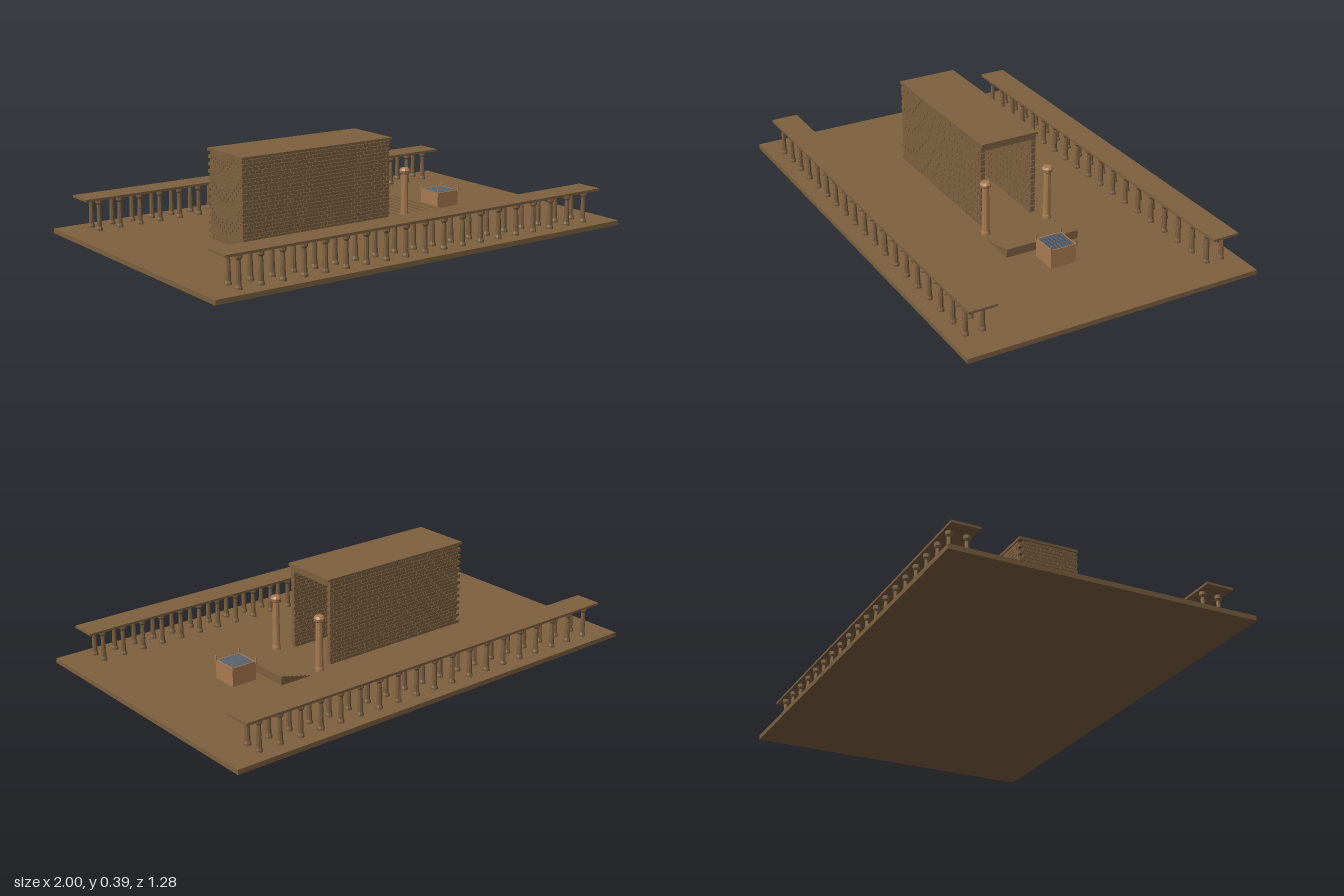
import * as THREE from 'three';
import { mergeGeometries } from 'three/addons/utils/BufferGeometryUtils.js';

const stone = new THREE.MeshStandardMaterial({ color: 0x7d6040 });
stone.name = 'brown stone';
const bronze = new THREE.MeshStandardMaterial({ color: 0xa87b50 });
bronze.name = 'bronze';
const purple = new THREE.MeshStandardMaterial({ color: 0x80456f, side: THREE.DoubleSide });
purple.name = 'purple cloth';
const iron = new THREE.MeshStandardMaterial({ color: 0x5c6876 });
iron.name = 'grey iron';

const FLOOR = 0.02;

// Box given by its minimum and maximum corners
function box(x0, x1, y0, y1, z0, z1) {
  return new THREE.BoxGeometry(x1 - x0, y1 - y0, z1 - z0)
    .translate((x0 + x1) / 2, (y0 + y1) / 2, (z0 + z1) / 2);
}

// Faceted turned column from [radius, height] pairs
function column(profile, sides, x, z) {
  const points = profile.map(([r, y]) => new THREE.Vector2(r, y));
  return new THREE.LatheGeometry(points, sides).toNonIndexed().translate(x, FLOOR, z);
}

export function createModel() {
  const model = new THREE.Group();
  model.name = 'templeCourt';
  const add = (name, parts, material) => {
    const geometry = Array.isArray(parts) ? mergeGeometries(parts) : parts;
    geometry.computeVertexNormals();
    const mesh = new THREE.Mesh(geometry, material);
    mesh.name = name;
    model.add(mesh);
  };

  // Courtyard slab
  add('courtyard', box(-1, 1, 0, FLOOR, -0.64, 0.64), stone);

  // Two colonnades, each a double row of columns under a flat roof
  const slim = [[0, 0], [0.0145, 0], [0.0145, 0.008], [0.011, 0.017], [0.0085, 0.108],
    [0.0145, 0.117], [0.0145, 0.132], [0, 0.132]];
  for (const side of [1, -1]) {
    const name = side > 0 ? 'front' : 'back';
    const columns = [];
    for (let i = 0; i < 19; i++) {
      for (const z of [0.501, 0.572]) columns.push(column(slim, 8, -0.86 + i * 0.0953, side * z));
    }
    add(name + 'Columns', columns, stone);
    const mid = side * 0.536;
    add(name + 'ColonnadeRoof', box(-0.928, 0.926, 0.151, 0.161, mid - 0.059, mid + 0.059), stone);
  }

  // Brick walls in running bond with fine open joints
  const bricks = [];
  const rows = 24, rise = 0.015, pitch = 0.03, gap = 0.0014;
  for (let row = 0; row < rows; row++) {
    const y0 = FLOOR + row * rise;
    const y1 = y0 + rise - gap;
    const shift = row % 2 ? pitch / 2 : 0;
    for (let x = -0.555 + shift; x < 0.16; x += pitch) {
      const end = Math.min(x + pitch - gap, 0.167);
      bricks.push(box(x, end, y0, y1, 0.108, 0.128));
      bricks.push(box(x, end, y0, y1, -0.128, -0.108));
    }
    // Rear wall
    for (let z = -0.128 + shift; z < 0.12; z += pitch) {
      bricks.push(box(-0.557, -0.537, y0, y1, z, Math.min(z + pitch - gap, 0.128)));
    }
  }
  add('brickWalls', bricks, stone);

  // Roof, doorway beam and inner curtain
  add('templeRoof', box(-0.56, 0.177, 0.381, 0.392, -0.131, 0.131), stone);
  add('lintel', box(0.148, 0.167, 0.358, 0.376, -0.108, 0.108), stone);
  add('curtain', box(-0.304, -0.3, FLOOR, 0.378, -0.107, 0.107), purple);

  // Two tall pillars beside the doorway
  const tall = [[0, 0], [0.019, 0], [0.019, 0.01], [0.0165, 0.02], [0.0145, 0.212],
    [0.022, 0.218], [0.024, 0.229], [0.017, 0.238], [0, 0.238]];
  for (const side of [1, -1]) {
    add(side > 0 ? 'frontPillar' : 'backPillar', column(tall, 10, 0.235, side * 0.144), bronze);
  }

  // Steps rising toward the altar
  const steps = new THREE.Shape();
  const count = 7, tread = 0.145 / count, riser = 0.036 / count;
  steps.moveTo(0.3, FLOOR);
  for (let i = 0; i < count; i++) {
    steps.lineTo(0.3 + i * tread, FLOOR + (i + 1) * riser);
    steps.lineTo(0.3 + (i + 1) * tread, FLOOR + (i + 1) * riser);
  }
  steps.lineTo(0.445, FLOOR);
  const stair = new THREE.ExtrudeGeometry(steps, { depth: 0.33, bevelEnabled: false });
  add('steps', stair.translate(0, 0, -0.165), stone);

  // Hollow altar with four corner horns
  const cx = 0.546, half = 0.057, top = 0.1, wall = 0.005;
  const altar = [];
  for (const s of [1, -1]) {
    const a = s * half, b = s * (half - wall);
    const lo = Math.min(a, b), hi = Math.max(a, b);
    altar.push(box(cx - half, cx + half, FLOOR, top, lo, hi));
    altar.push(box(cx + lo, cx + hi, FLOOR, top, -half + wall, half - wall));
  }
  add('altar', altar, bronze);
  const horns = [];
  for (const sx of [1, -1]) {
    for (const sz of [1, -1]) {
      const horn = new THREE.CylinderGeometry(0.0035, 0.006, 0.03, 4, 1);
      horn.rotateY(Math.PI / 4);
      horns.push(horn.translate(cx + sx * 0.057, 0.105, sz * 0.057));
    }
  }
  add('altarHorns', horns, bronze);

  // Crossed bars of the grate
  const bars = [];
  const inner = half - wall;
  for (let i = 0; i < 11; i++) {
    const p = -inner + (i + 0.5) * (2 * inner / 11);
    bars.push(box(cx - inner, cx + inner, 0.093, 0.097, p - 0.0025, p + 0.0025));
    bars.push(box(cx + p - 0.0025, cx + p + 0.0025, 0.096, 0.1, -inner, inner));
  }
  add('altarGrate', bars, iron);

  return model;
}
